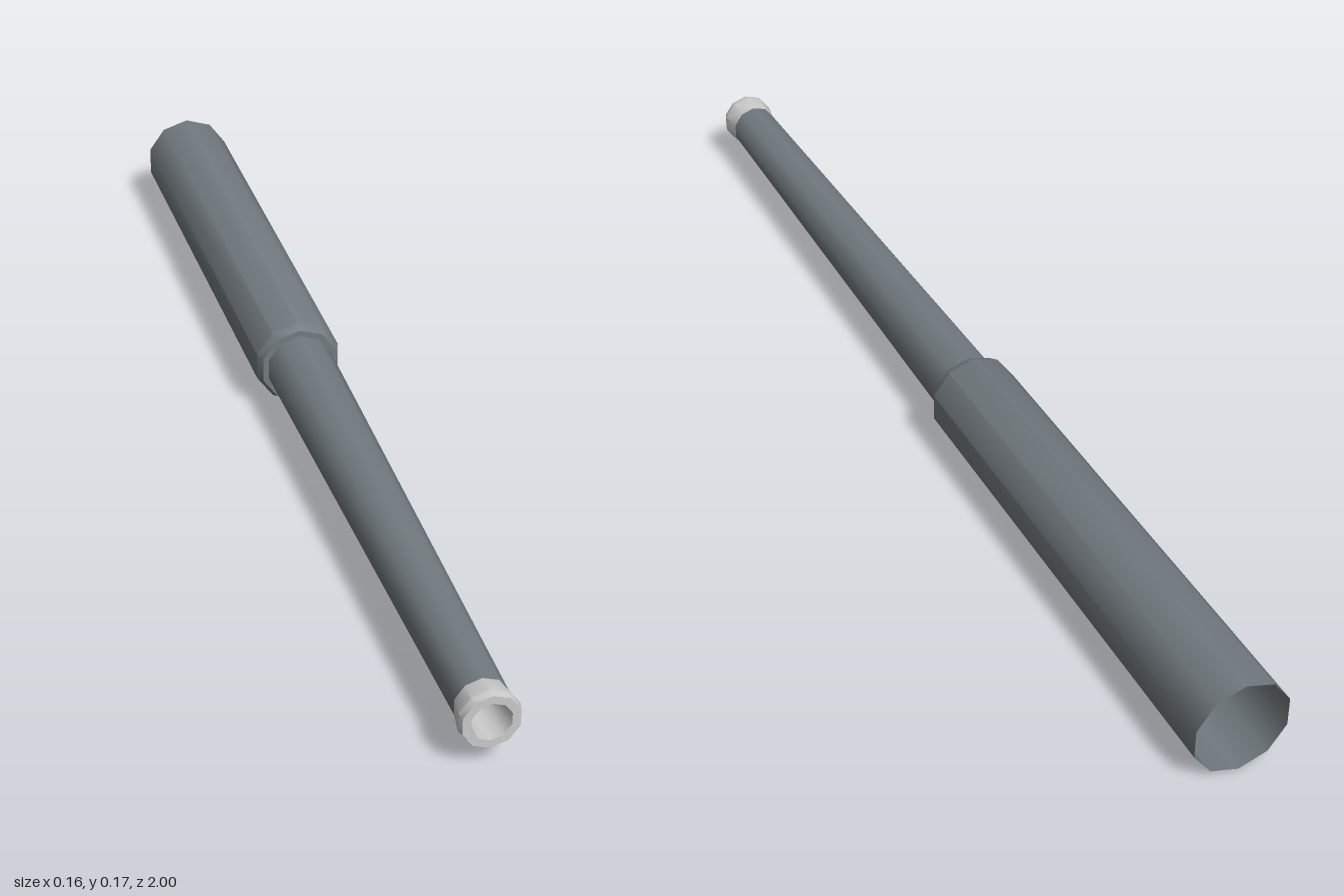
import * as THREE from 'three';
import { toCreasedNormals } from 'three/addons/utils/BufferGeometryUtils.js';

const SIDES = 10;
const AXIS_Y = 0.085;

// Ten-sided turned part along z, from [radius, z] pairs listed back to front
function turned(name, profile, material) {
  const points = profile.map(([r, z]) => new THREE.Vector2(r, z));
  const lathe = new THREE.LatheGeometry(points, SIDES).rotateX(Math.PI / 2);
  // Smooth around the tube, sharp at steps and chamfers
  const mesh = new THREE.Mesh(toCreasedNormals(lathe, 0.68), material);
  mesh.name = name;
  mesh.position.y = AXIS_Y;
  return mesh;
}

export function createModel() {
  const group = new THREE.Group();
  group.name = 'steppedBarrel';

  const dark = new THREE.MeshStandardMaterial({ color: 0x737b80, side: THREE.DoubleSide });
  const grey = new THREE.MeshStandardMaterial({ color: 0xcccccc, side: THREE.DoubleSide });

  // Thick rear sleeve, open at the back, chamfered at the front step
  group.add(turned('rearSleeve', [
    [0.085, -1], [0.08, -0.087], [0.072, -0.07], [0.061, -0.07],
  ], dark));

  // Slim tapering front tube
  group.add(turned('frontTube', [[0.061, -0.07], [0.044, 0.952]], dark));

  // Flared muzzle ring with a recessed bore
  group.add(turned('muzzle', [
    [0.044, 0.952], [0.05, 0.988], [0.047, 1],
    [0.033, 1], [0.03, 0.91], [0, 0.91],
  ], grey));

  return group;
}
